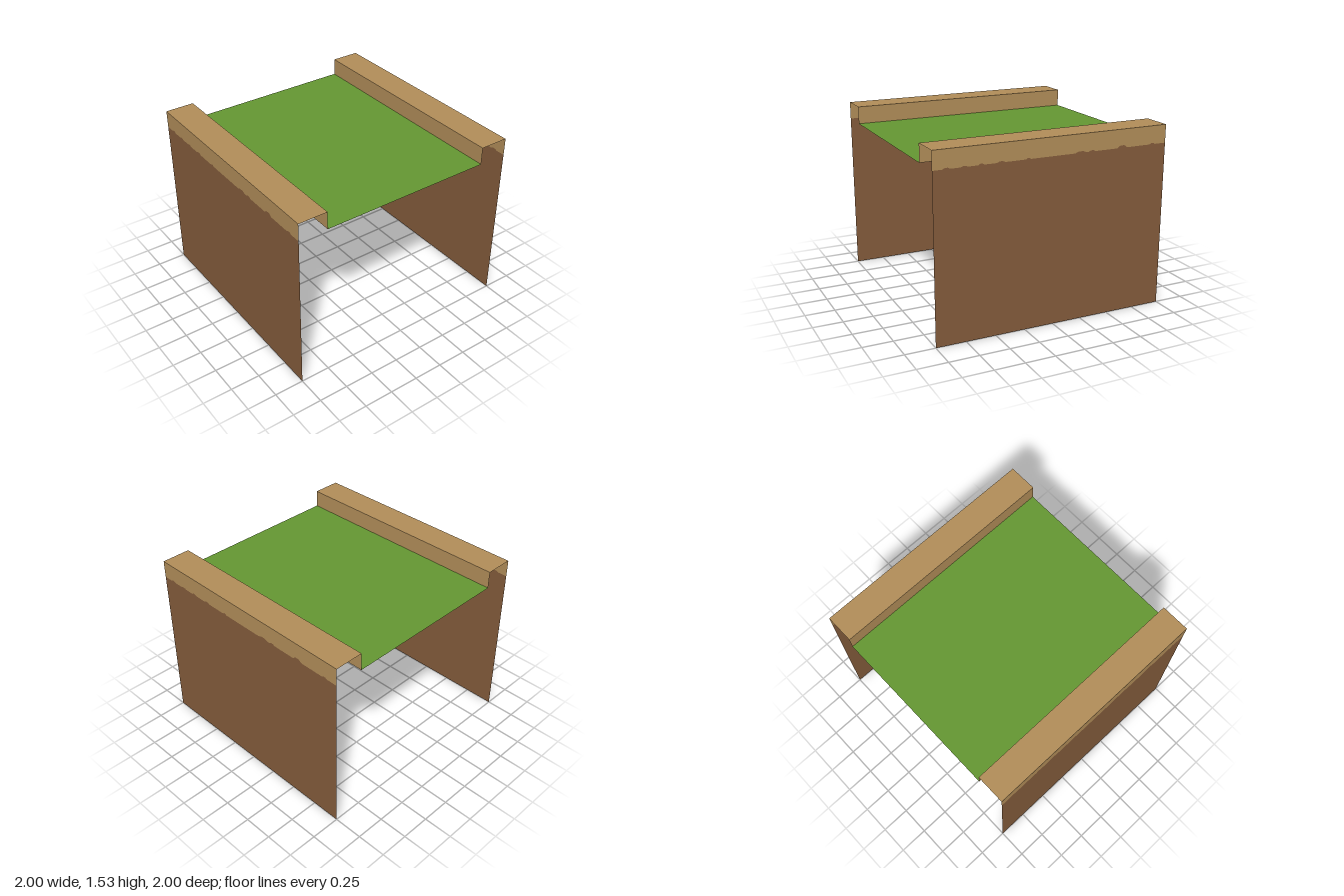
import * as THREE from 'three';

const TOP = 1.53, GRASS = 1.38, INNER = 0.75, OUTER = 1;

const mat = (name, color) => {
  const m = new THREE.MeshStandardMaterial({ color, side: THREE.DoubleSide });
  m.name = name;
  return m;
};

export function createModel() {
  const tan = mat('sand tan', 0xb38f5a);
  const brown = mat('earth brown', 0x855d3c);
  const green = mat('grass green', 0x659833);

  const model = new THREE.Group();
  model.name = 'raisedPathTile';

  const add = (parent, name, geometry, material) => {
    const mesh = new THREE.Mesh(geometry, material);
    mesh.name = name;
    parent.add(mesh);
    return mesh;
  };

  // Slightly uneven line where earth meets sand: [start, end, height]
  const bumps = [
    [-0.92, -0.86, 0.01], [-0.78, -0.72, 0.007], [-0.64, -0.59, 0.01],
    [-0.49, -0.42, 0.01], [-0.25, -0.21, 0.01], [0.17, 0.27, 0.012],
    [0.29, 0.35, 0.01], [0.55, 0.64, 0.02], [0.85, 0.9, 0.01],
  ];
  const edge = [[-1, GRASS]];
  for (const [a, b, h] of bumps) {
    const d = (b - a) * 0.3;
    edge.push([a, GRASS], [a + d, GRASS + h], [b - d, GRASS + h], [b, GRASS]);
  }
  edge.push([1, GRASS]);

  // Flat outer wall section between the uneven line and a straight level
  const wall = (level) => {
    const pts = [[1, level], [-1, level], ...edge].map(([u, y]) => new THREE.Vector2(u, y));
    return new THREE.ShapeGeometry(new THREE.Shape(pts)).rotateY(Math.PI / 2).translate(OUTER, 0, 0);
  };

  // Two identical banks, the second turned half way round
  for (const [name, turn] of [['leftBank', 0], ['rightBank', Math.PI]]) {
    const bank = new THREE.Group();
    bank.name = name;
    bank.rotation.y = turn;
    add(bank, 'earthWall', wall(0), brown);
    add(bank, 'sandBand', wall(TOP), tan);
    const width = OUTER - INNER;
    add(bank, 'bankTop', new THREE.PlaneGeometry(width, 2).rotateX(-Math.PI / 2), tan)
      .position.set(INNER + width / 2, TOP, 0);
    add(bank, 'innerLip', new THREE.PlaneGeometry(2, TOP - GRASS).rotateY(-Math.PI / 2), tan)
      .position.set(INNER, (TOP + GRASS) / 2, 0);
    model.add(bank);
  }

  // Sunken grass floor between the banks
  add(model, 'grassFloor', new THREE.PlaneGeometry(INNER * 2, 2).rotateX(-Math.PI / 2), green)
    .position.y = GRASS;

  return model;
}
